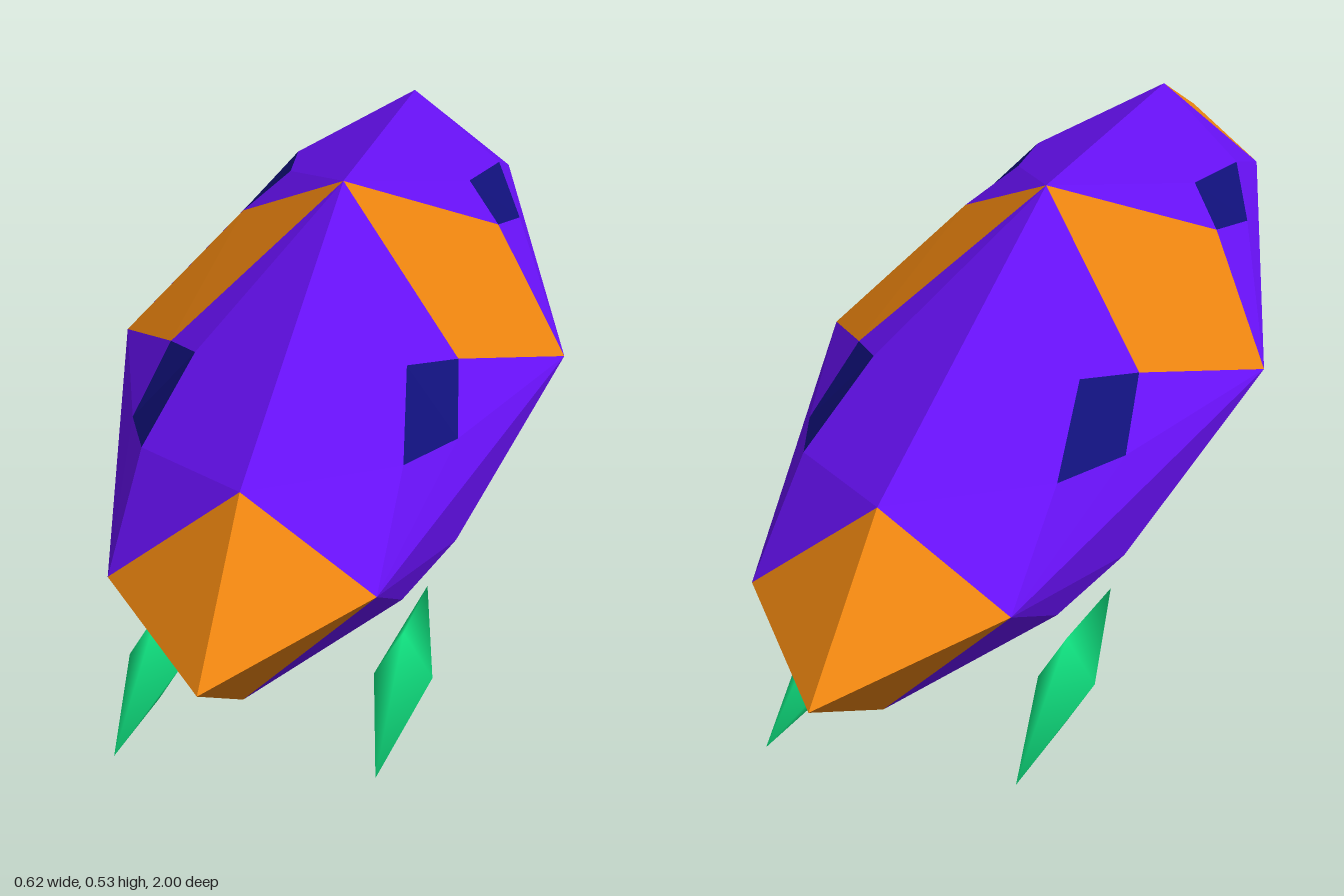
import * as THREE from 'three';

const material = (color, flatShading) => new THREE.MeshStandardMaterial({ color, flatShading });

// Corner points of one eighth of the hull (+x, +z): an upper and a lower set
const side = [0.31, 0.29, 0], shoulder = [0.157, 0.302, 0.752], tip = [0, 0.302, 1];
const upper = {
  side, shoulder, tip,
  peak: [0, 0.53, 0], nose: [0, 0.423, 0.752], corner: [0.19, 0.385, 0.25],
  inner: [0.136, 0.415, 0.35], outer: [0.208, 0.342, 0.4], far: [0.16, 0.375, 0.555],
};
const lower = {
  side, shoulder, tip,
  peak: [0, 0, 0], nose: [0, 0.153, 0.752], corner: [0.19, 0.18, 0.25],
  inner: [0.136, 0.13, 0.35], outer: [0.208, 0.2, 0.4], far: [0.16, 0.193, 0.555],
};

// Facets, named by their corners
const facets = {
  hull: [
    ['peak', 'corner', 'inner'], ['peak', 'inner', 'nose'], ['nose', 'inner', 'far'],
    ['nose', 'far', 'shoulder'], ['shoulder', 'far', 'outer'],
    ['shoulder', 'outer', 'side'], ['side', 'outer', 'corner'],
  ],
  window: [['corner', 'outer', 'inner'], ['inner', 'outer', 'far']],
  nose: [['nose', 'shoulder', 'tip']],
};

// Triangles turned to face away from the hull's long axis
function facetMesh(name, triangles, color) {
  const positions = [];
  for (const tri of triangles) {
    const [a, b, c] = tri.map((p) => new THREE.Vector3(...p));
    const normal = b.clone().sub(a).cross(c.clone().sub(a));
    const out = a.clone().add(b).add(c).divideScalar(3).sub(new THREE.Vector3(0, 0.28, 0));
    const order = normal.dot(out) > 0 ? [a, b, c] : [a, c, b];
    order.forEach((p) => positions.push(p.x, p.y, p.z));
  }
  const geometry = new THREE.BufferGeometry();
  geometry.setAttribute('position', new THREE.Float32BufferAttribute(positions, 3));
  geometry.computeVertexNormals();
  const mesh = new THREE.Mesh(geometry, material(color, true));
  mesh.name = name;
  return mesh;
}

// Repeat one set of facets over all eight sectors
function mirrored(list) {
  const triangles = [];
  for (const points of [upper, lower])
    for (const sx of [-1, 1])
      for (const sz of [-1, 1])
        for (const tri of list)
          triangles.push(tri.map((key) => {
            const [x, y, z] = points[key];
            return [x * sx, y, z * sz];
          }));
  return triangles;
}

export function createModel() {
  const model = new THREE.Group();
  model.name = 'crystalShip';

  // Faceted hull, dark windows and pointed ends
  model.add(facetMesh('hull', mirrored(facets.hull), 0x6610f2));
  model.add(facetMesh('windows', mirrored(facets.window), 0x101078));
  model.add(facetMesh('noseCones', mirrored(facets.nose), 0xe8820f));

  // Diamond panels on both flanks, above and below the waist
  const panels = [];
  for (const { peak, corner } of [upper, lower])
    for (const s of [-1, 1]) {
      const waist = [side[0] * s, side[1], 0];
      const front = [corner[0] * s, corner[1], corner[2]];
      const back = [corner[0] * s, corner[1], -corner[2]];
      panels.push([peak, front, back], [waist, front, back]);
    }
  model.add(facetMesh('sidePanels', panels, 0xe8820f));

  // Four floating crystals under the hull, softly shaded
  const crystal = new THREE.SphereGeometry(1, 4, 2);
  const green = material(0x10e582, false);
  for (const x of [-0.157, 0.157])
    for (const z of [-0.495, 0.515]) {
      const mesh = new THREE.Mesh(crystal, green);
      mesh.name = 'floatingCrystal';
      mesh.scale.set(0.037, 0.0615, 0.24);
      mesh.position.set(x, 0.063, z);
      model.add(mesh);
    }
  return model;
}
